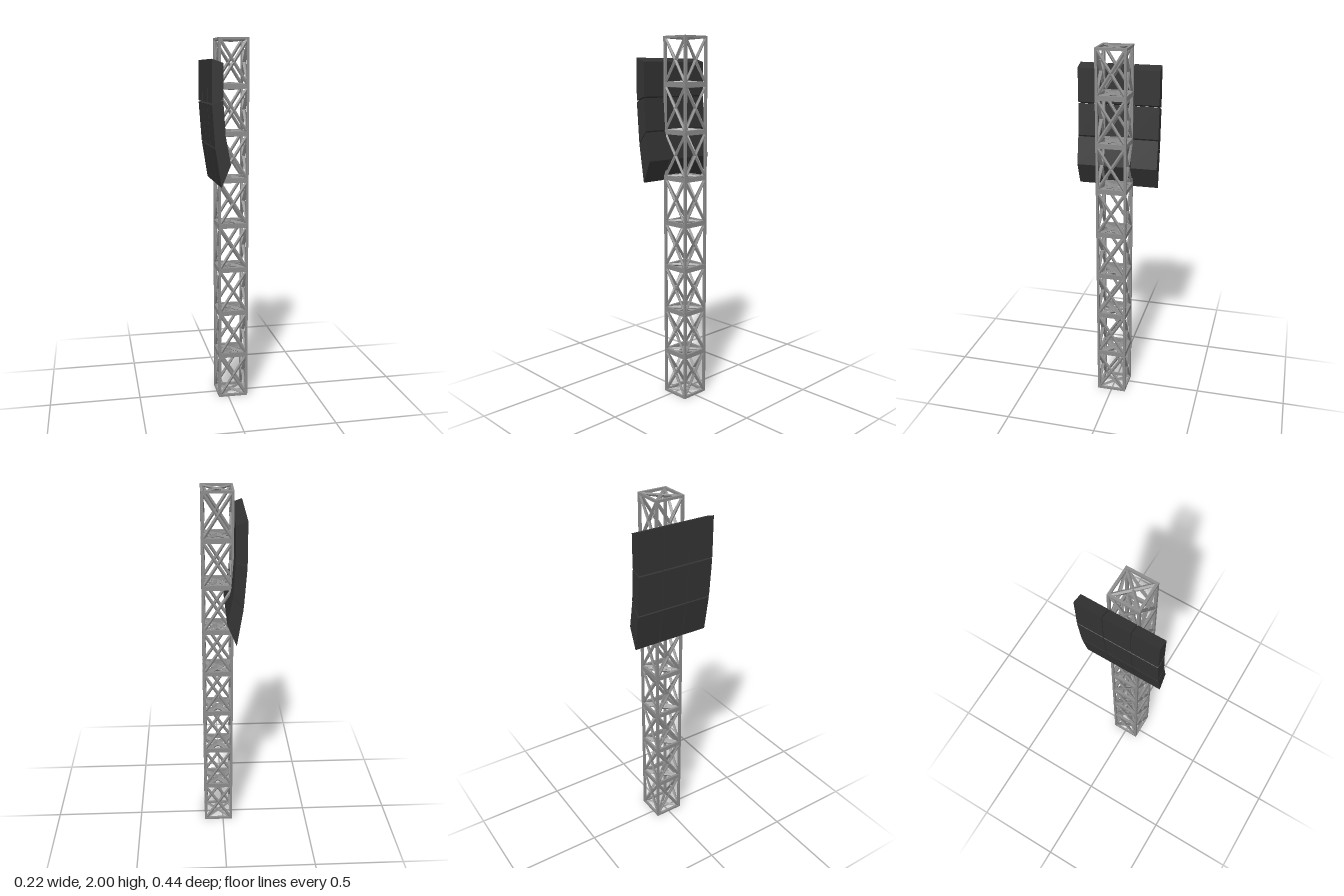
import * as THREE from 'three';

const W = 0.165;      // tower width
const BAY = 0.25;     // height of one bay
const BAYS = 8;
const T = 0.013;      // frame bar thickness
const CX = 0.028;     // tower axis in x

const steel = new THREE.MeshStandardMaterial({ color: 0x8c8c8c, flatShading: true, side: THREE.DoubleSide });
const dark = new THREE.MeshStandardMaterial({ color: 0x333333, flatShading: true });

function mesh(geometry, material, name, x = 0, y = 0, z = 0) {
  const m = new THREE.Mesh(geometry, material);
  m.name = name;
  m.position.set(x, y, z);
  return m;
}

// Diamond-section brace whose inner ridge (+z) deepens towards mid-length
function braceGeometry(w, h) {
  const len = Math.hypot(w, h);
  const g = new THREE.CylinderGeometry(1, 1, len, 4, 2, true);
  const p = g.attributes.position;
  for (let i = 0; i < p.count; i++) {
    const mid = 1 - Math.abs(p.getY(i)) / (len / 2);
    const z = p.getZ(i);
    p.setX(i, p.getX(i) * 0.009);
    p.setZ(i, z > 0 ? z * (0.006 + 0.009 * mid) : z * 0.006);
  }
  g.computeVertexNormals();
  return g;
}

// Pair of crossed braces filling a w x h face, inward side towards +z
function crossBrace(w, h, geometry, name) {
  const g = new THREE.Group();
  g.name = name;
  for (const s of [-1, 1]) {
    const b = mesh(geometry, steel, 'brace');
    b.rotation.z = s * Math.atan2(w, h);
    g.add(b);
  }
  return g;
}

function createBay(geo) {
  const bay = new THREE.Group();
  bay.name = 'towerBay';
  const e = W / 2 - T / 2;
  const inner = W - T;

  // Corner posts
  for (const x of [-e, e]) for (const z of [-e, e])
    bay.add(mesh(geo.post, steel, 'cornerPost', x, BAY / 2, z));

  // Square frames and crossed braces at the bottom and the top
  for (const [y, tilt] of [[T / 2, -Math.PI / 2], [BAY - T / 2, Math.PI / 2]]) {
    for (const s of [-1, 1]) {
      bay.add(mesh(geo.railX, steel, 'frameRail', 0, y, s * e));
      bay.add(mesh(geo.railZ, steel, 'frameRail', s * e, y, 0));
    }
    const x = crossBrace(inner, inner, geo.flatBrace, 'frameCross');
    x.rotation.x = tilt;
    x.position.y = y;
    bay.add(x);
  }

  // Crossed braces on the four sides
  for (let i = 0; i < 4; i++) {
    const a = i * Math.PI / 2;
    const x = crossBrace(inner, BAY - T, geo.sideBrace, 'sideCross');
    x.rotation.y = a;
    x.position.set(-Math.sin(a) * e, BAY / 2, -Math.cos(a) * e);
    bay.add(x);
  }
  return bay;
}

function createTower() {
  const tower = new THREE.Group();
  tower.name = 'latticeTower';
  const geo = {
    post: new THREE.BoxGeometry(T, BAY, T),
    railX: new THREE.BoxGeometry(W - T, T, T),
    railZ: new THREE.BoxGeometry(T, T, W - T),
    flatBrace: braceGeometry(W - T, W - T),
    sideBrace: braceGeometry(W - T, BAY - T),
  };
  for (let i = 0; i < BAYS; i++) {
    const bay = createBay(geo);
    bay.position.y = i * BAY;
    tower.add(bay);
  }
  tower.position.x = CX;
  return tower;
}

// Curved array of cabinets: three rows with wedge-shaped profiles, three columns
function createArray() {
  const array = new THREE.Group();
  array.name = 'panelArray';
  const rows = [
    [[-0.113, 1.888], [-0.113, 1.668], [-0.055, 1.688], [-0.055, 1.868]],
    [[-0.113, 1.66], [-0.097, 1.443], [-0.043, 1.51], [-0.055, 1.681]],
    [[-0.096, 1.436], [-0.064, 1.235], [-0.015, 1.352], [-0.043, 1.503]],
  ];
  const pitch = 0.148, depth = 0.144;
  for (const row of rows) {
    const shape = new THREE.Shape(row.map(([x, y]) => new THREE.Vector2(x, y)));
    const geometry = new THREE.ExtrudeGeometry(shape, { depth, bevelEnabled: false });
    geometry.translate(0, 0, -depth / 2);
    for (const c of [-1, 0, 1]) array.add(mesh(geometry, dark, 'panelCabinet', 0, 0, c * pitch));
  }
  return array;
}

export function createModel() {
  const model = new THREE.Group();
  model.name = 'towerWithPanelArray';
  model.add(createTower(), createArray());
  return model;
}
